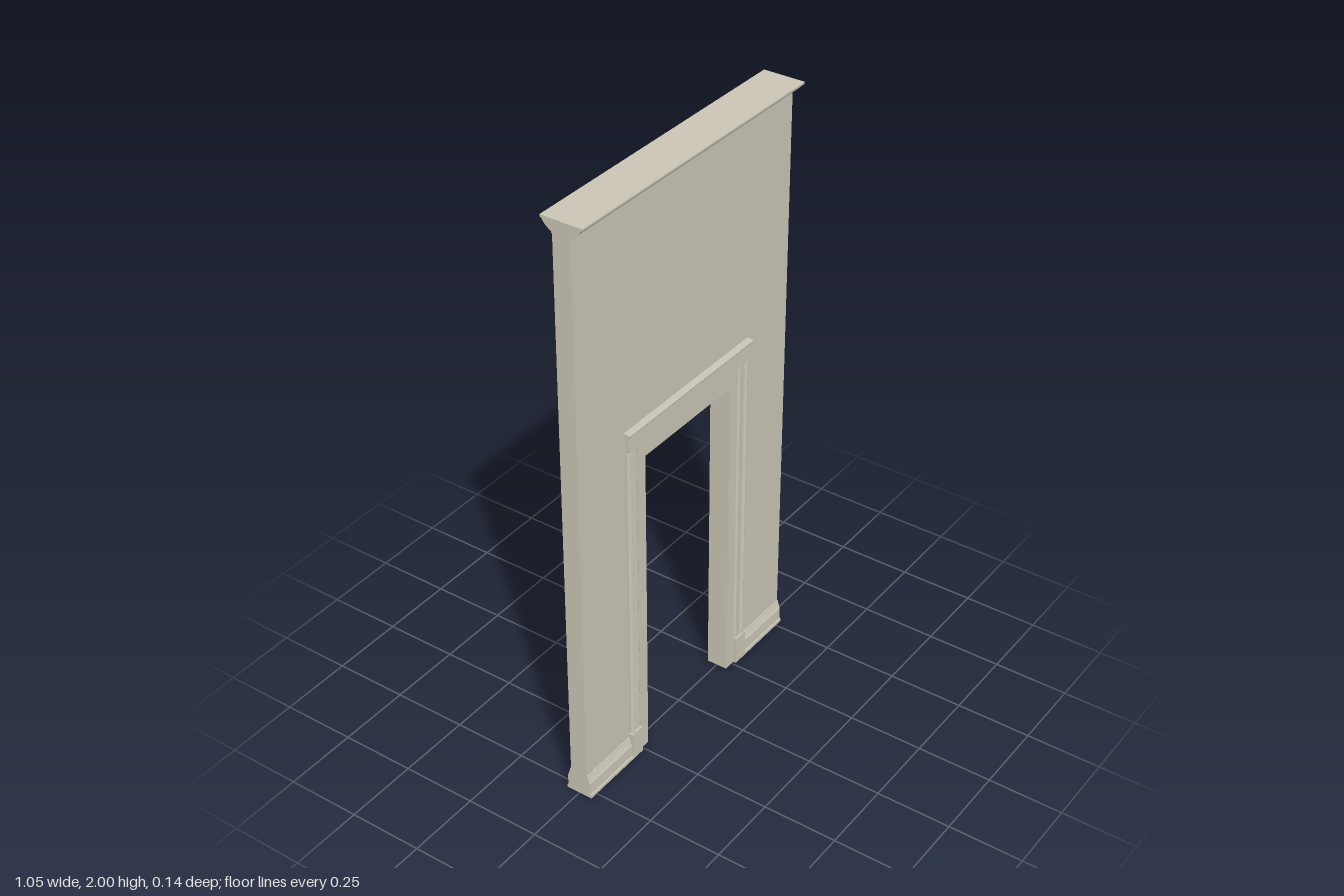
import * as THREE from 'three';

const HALF_W = 0.527, OPEN_X = 0.217, OPEN_Y = 1.1, WALL_Z = 0.03;

export function createModel() {
  const root = new THREE.Group();
  root.name = 'doorwayWall';
  const plaster = new THREE.MeshStandardMaterial({ color: 0xcbc6b7 });
  plaster.name = 'warm plaster';

  const add = (parent, name, geometry) => {
    const mesh = new THREE.Mesh(geometry, plaster);
    mesh.name = name;
    parent.add(mesh);
  };
  const extrude = (points, depth) => new THREE.ExtrudeGeometry(
    new THREE.Shape(points.map(([a, b]) => new THREE.Vector2(a, b))),
    { depth, bevelEnabled: false });
  // Profile given as [z, y], run along x from x0 to x1
  const alongX = (profile, x0, x1) =>
    extrude(profile, x1 - x0).rotateY(-Math.PI / 2).translate(x1, 0, 0);
  // Profile given as [x, z], run upward from y0 to y1
  const alongY = (profile, y0, y1) =>
    extrude(profile.map(([x, z]) => [x, -z]), y1 - y0).rotateX(-Math.PI / 2).translate(0, y0, 0);
  const box = (x0, x1, y0, y1, z0, z1) =>
    new THREE.BoxGeometry(x1 - x0, y1 - y0, z1 - z0)
      .translate((x0 + x1) / 2, (y0 + y1) / 2, (z0 + z1) / 2);

  // Wall panel with the doorway cut up from the floor
  add(root, 'wall', extrude([
    [-HALF_W, 0], [-OPEN_X, 0], [-OPEN_X, OPEN_Y], [OPEN_X, OPEN_Y],
    [OPEN_X, 0], [HALF_W, 0], [HALF_W, 1.955], [-HALF_W, 1.955],
  ], WALL_Z * 2).translate(0, 0, -WALL_Z));

  // Crown moulding flaring on both faces
  const crown = [[0.03, 1.955], [0.033, 1.957], [0.034, 1.963], [0.042, 1.967],
    [0.052, 1.975], [0.06, 1.984], [0.064, 1.991], [0.07, 1.994], [0.07, 2]];
  add(root, 'crownMoulding', alongX(
    [...crown, ...crown.map(([z, y]) => [-z, y]).reverse()], -HALF_W, HALF_W));

  // Skirting and moulded casing sections
  const skirting = [[0.028, 0], [0.046, 0], [0.046, 0.01], [0.043, 0.015], [0.042, 0.055],
    [0.039, 0.062], [0.034, 0.078], [0.033, 0.084], [0.028, 0.084]];
  const moulding = [[0.258, 0.028], [0.306, 0.028], [0.306, 0.036], [0.301, 0.044],
    [0.296, 0.045], [0.291, 0.039], [0.286, 0.038], [0.27, 0.04], [0.264, 0.04], [0.258, 0.036]];

  for (const face of ['front', 'back']) {
    const trim = new THREE.Group();
    trim.name = face + 'Trim';
    if (face === 'back') trim.rotation.y = Math.PI;
    root.add(trim);

    // Flat casing board around the opening
    const b = 0.262;
    add(trim, 'casingBoard', extrude([
      [-b, 0], [-OPEN_X, 0], [-OPEN_X, OPEN_Y], [OPEN_X, OPEN_Y],
      [OPEN_X, 0], [b, 0], [b, 1.155], [-b, 1.155],
    ], 0.008).translate(0, 0, 0.028));

    for (const s of [1, -1]) {
      const side = s > 0 ? 'left' : 'right';
      const profile = moulding.map(([x, z]) => [s * x, z]);
      add(trim, side + 'Moulding', alongY(profile, 0.1, 1.155));
      const [p0, p1] = [0.26, 0.311].map(x => s * x).sort((a, c) => a - c);
      add(trim, side + 'Plinth', box(p0, p1, 0, 0.1, 0.028, 0.046));
      const [k0, k1] = [0.311, HALF_W].map(x => s * x).sort((a, c) => a - c);
      add(trim, side + 'Skirting', alongX(skirting, k0, k1));
    }

    // Header board with a projecting cap
    add(trim, 'header', box(-0.303, 0.303, 1.155, 1.216, 0.028, 0.041));
    add(trim, 'headerCap', alongX([[0.028, 1.214], [0.041, 1.214], [0.05, 1.219],
      [0.052, 1.222], [0.052, 1.227], [0.05, 1.229], [0.028, 1.229]], -0.314, 0.314));
  }
  return root;
}
